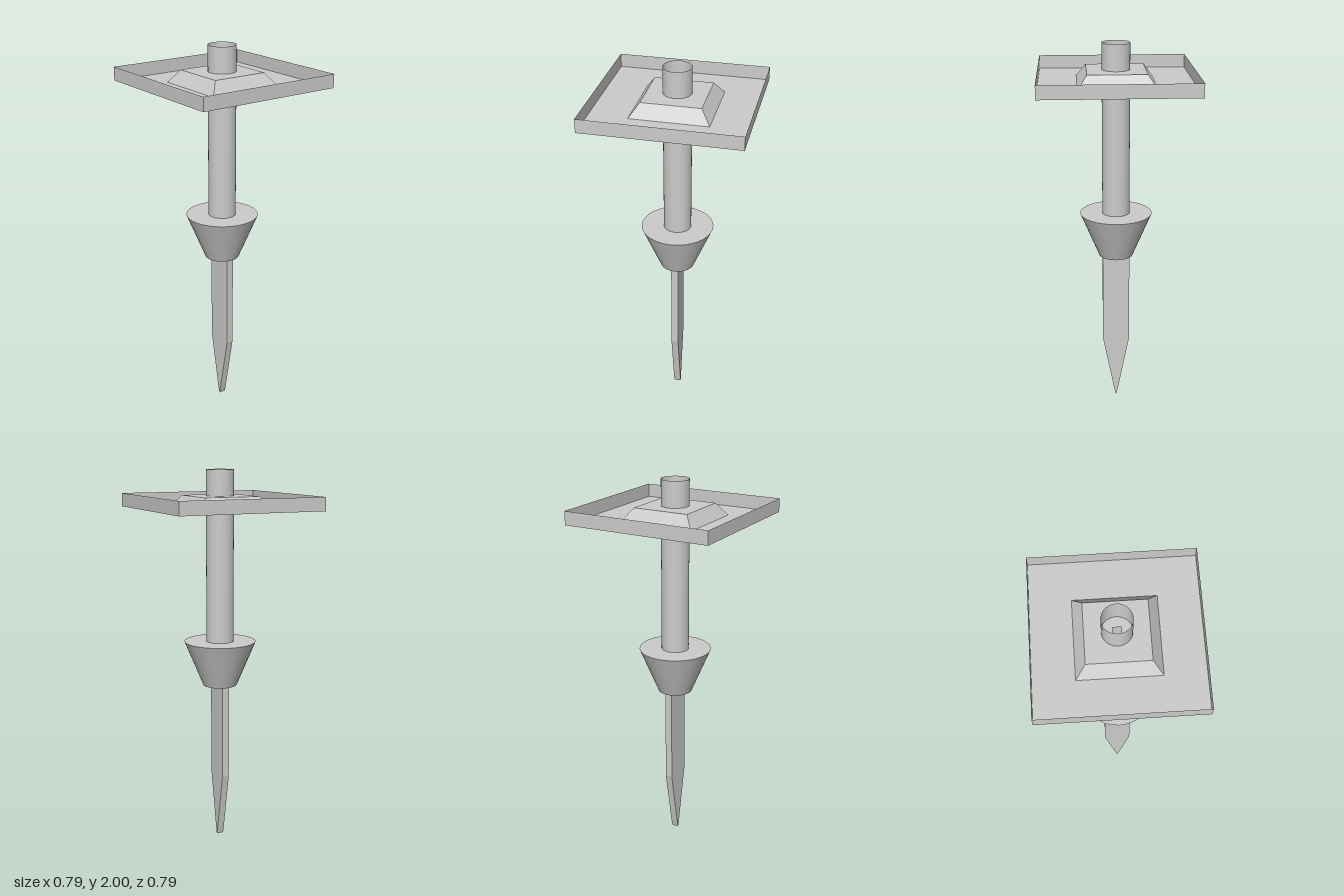
import * as THREE from 'three';

const material = new THREE.MeshStandardMaterial({ color: 0xcccccc });
const openMaterial = new THREE.MeshStandardMaterial({ color: 0xcccccc, side: THREE.DoubleSide });
const flatMaterial = new THREE.MeshStandardMaterial({ color: 0xcccccc, side: THREE.DoubleSide, flatShading: true });

export function createModel() {
  const model = new THREE.Group();
  const add = (name, geometry, mat, y = 0) => {
    const mesh = new THREE.Mesh(geometry, mat);
    mesh.name = name;
    mesh.position.y = y;
    model.add(mesh);
    return mesh;
  };

  // Thin square tray: small centre opening, raised plateau, floor and rim.
  // A four-sided lathe; half-widths become corner radii.
  const trayProfile = [
    [0.02, 1.866], [0.15, 1.866], [0.198, 1.8], [0.394, 1.8], [0.394, 1.87],
  ].map(([half, y]) => new THREE.Vector2(half * Math.SQRT2, y));
  add('tray', new THREE.LatheGeometry(trayProfile, 4, Math.PI / 4), flatMaterial);

  // Open tube running through the tray down to the collar
  const tubeBottom = 1.103, tubeTop = 2;
  add('tube',
    new THREE.CylinderGeometry(0.072, 0.072, tubeTop - tubeBottom, 32, 1, true),
    openMaterial, (tubeBottom + tubeTop) / 2);

  // Tapered collar
  const collarBottom = 0.863;
  add('collar',
    new THREE.CylinderGeometry(0.19, 0.09, tubeBottom - collarBottom, 32),
    material, (collarBottom + tubeBottom) / 2);

  // Flat ground spike, its outline extruded across x
  const outline = new THREE.Shape([
    [0, 0], [0.01, 0.04], [0.072, 0.36], [0.072, collarBottom],
    [-0.072, collarBottom], [-0.072, 0.36], [-0.01, 0.04],
  ].map(([z, y]) => new THREE.Vector2(z, y)));
  const thickness = 0.038;
  const spike = new THREE.ExtrudeGeometry(outline, { depth: thickness, bevelEnabled: false });
  spike.translate(0, 0, -thickness / 2).rotateY(Math.PI / 2);
  add('spike', spike, material);

  return model;
}
